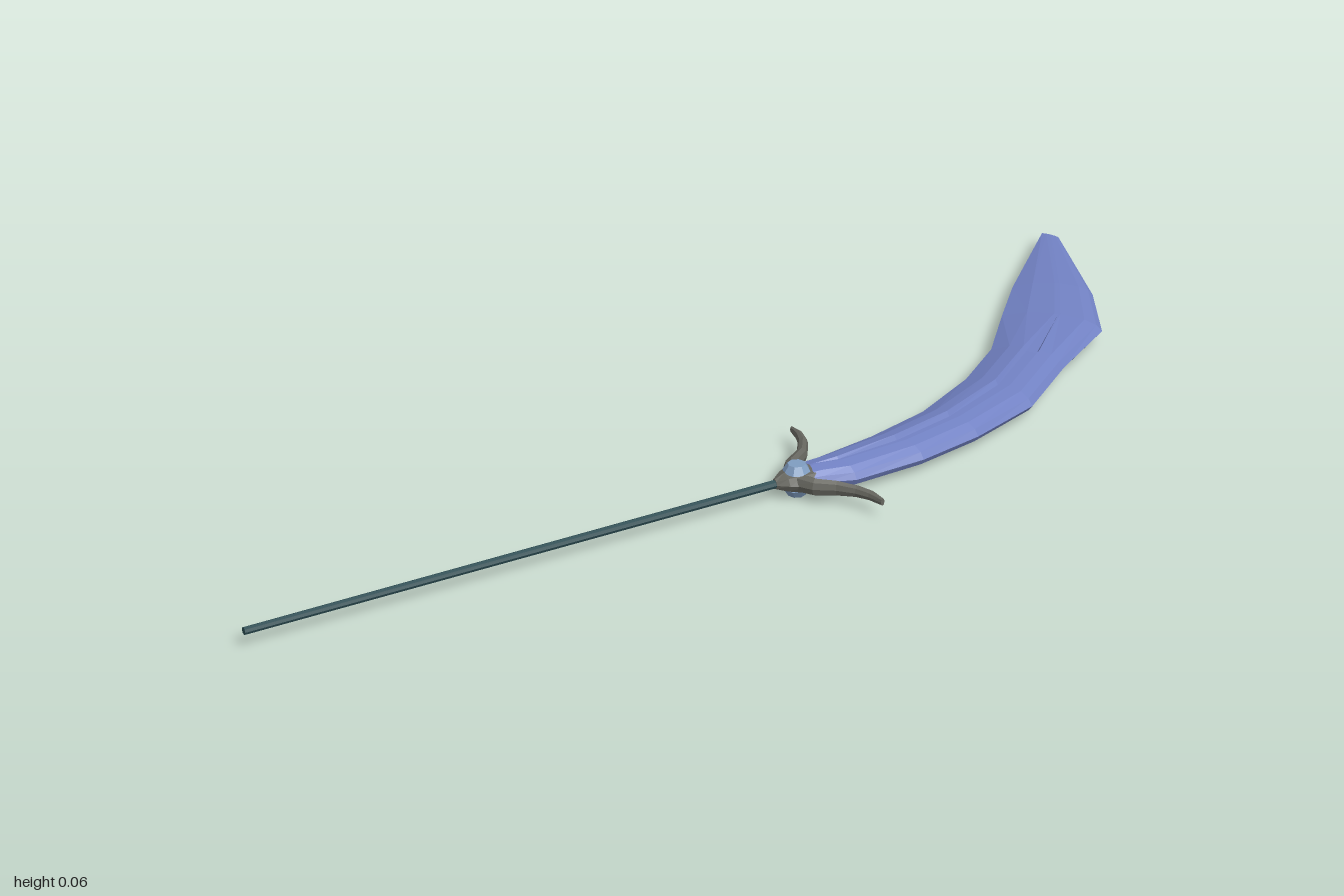
import * as THREE from 'three';

const MID = 0.028; // height of the weapon's flat centre plane

function mesh(name, geometry, color, parent) {
  const m = new THREE.Mesh(geometry, new THREE.MeshStandardMaterial({ color, flatShading: true }));
  m.name = name;
  parent.add(m);
  return m;
}

// Skins a list of equal-length rings and closes both ends.
function loft(rings) {
  const n = rings[0].length, pos = [];
  const tri = (...pts) => pts.forEach(p => pos.push(p.x, p.y, p.z));
  for (let i = 0; i < rings.length - 1; i++) {
    for (let j = 0; j < n; j++) {
      const k = (j + 1) % n, a = rings[i], b = rings[i + 1];
      tri(a[j], a[k], b[j]);
      tri(a[k], b[k], b[j]);
    }
  }
  [rings[0], rings[rings.length - 1]].forEach((ring, end) => {
    const c = ring.reduce((s, p) => s.add(p), new THREE.Vector3()).divideScalar(n);
    for (let j = 0; j < n; j++) {
      const k = (j + 1) % n;
      if (end) tri(c, ring[j], ring[k]);
      else tri(c, ring[k], ring[j]);
    }
  });
  const g = new THREE.BufferGeometry();
  g.setAttribute('position', new THREE.Float32BufferAttribute(pos, 3));
  g.computeVertexNormals();
  return g;
}

// Curved blade: each station is inner x,z, outer x,z, half thickness, groove amount.
function bladeGeometry() {
  const stations = [
    [0.03, 0.21, 0.03, 0.27, 0.016, 0],
    [0.06, 0.20, 0.06, 0.28, 0.020, 0],
    [0.10, 0.195, 0.11, 0.30, 0.023, 0.5],
    [0.22, 0.175, 0.25, 0.295, 0.0235, 1],
    [0.35, 0.14, 0.38, 0.27, 0.0235, 1],
    [0.49, 0.07, 0.53, 0.22, 0.0235, 1],
    [0.60, -0.01, 0.67, 0.12, 0.023, 1],
    [0.70, -0.12, 0.82, 0.03, 0.021, 0],
    [0.79, -0.215, 0.90, -0.11, 0.017, 0],
    [0.985, -0.395, 1.0, -0.36, 0.002, 0],
  ];
  return loft(stations.map(([ix, iz, ox, oz, h, g]) => {
    const at = (t, y) => new THREE.Vector3(ix + (ox - ix) * t, MID + y * h, iz + (oz - iz) * t);
    // Upper half profile: bevel, ridge, groove, ridge, rounded outer edge
    const half = [
      [0.25, 0.72], [0.52 - 0.08 * g, 1], [0.54 - 0.06 * g, 1 - 0.4 * g],
      [0.56 + 0.06 * g, 1 - 0.4 * g], [0.58 + 0.08 * g, 1], [0.82, 0.85], [0.94, 0.5],
    ];
    return [
      at(0, 0), ...half.map(([t, y]) => at(t, y)),
      at(1, 0), ...half.slice().reverse().map(([t, y]) => at(t, -y)),
    ];
  }));
}

// Tapered horizontal horn through the given [x, z, half width, half height] points.
function hornGeometry(points) {
  const up = new THREE.Vector3(0, 1, 0);
  const centres = points.map(([x, z]) => new THREE.Vector3(x, MID, z));
  return loft(points.map(([, , w, h], i) => {
    const dir = centres[Math.min(i + 1, points.length - 1)].clone()
      .sub(centres[Math.max(i - 1, 0)]).normalize();
    const side = dir.cross(up);
    return Array.from({ length: 8 }, (_, j) => {
      const a = j / 8 * Math.PI * 2;
      return centres[i].clone().addScaledVector(side, -Math.cos(a) * w)
        .addScaledVector(up, Math.sin(a) * h);
    });
  }));
}

export function createModel() {
  const model = new THREE.Group();
  model.name = 'curvedBlade';
  const guard = new THREE.Group();
  guard.name = 'guard';
  model.add(guard);
  const GREY = 0x66665f;

  mesh('blade', bladeGeometry(), 0x7282c4, model);

  // Long thin shaft
  const shaft = mesh('shaft', new THREE.CylinderGeometry(0.0075, 0.0065, 1.01, 8), 0x2b4c52, model);
  shaft.rotation.z = -Math.PI / 2;
  shaft.position.set(-0.495, MID, 0.242);

  // Hub and collar where the shaft meets the blade
  mesh('hub', hornGeometry([
    [-0.018, 0.242, 0.008, 0.009], [0, 0.242, 0.022, 0.017],
    [0.025, 0.242, 0.036, 0.023], [0.05, 0.242, 0.034, 0.02], [0.065, 0.242, 0.015, 0.01],
  ]), GREY, guard);

  // Two swept horns
  mesh('backHorn', hornGeometry([
    [0.018, 0.235, 0.016, 0.018], [0.04, 0.20, 0.012, 0.016], [0.08, 0.172, 0.01, 0.014],
    [0.105, 0.135, 0.009, 0.011], [0.115, 0.105, 0.007, 0.009], [0.116, 0.08, 0.003, 0.006],
  ]), GREY, guard);
  mesh('frontHorn', hornGeometry([
    [0.018, 0.25, 0.016, 0.018], [0.035, 0.285, 0.012, 0.016], [0.065, 0.308, 0.01, 0.014],
    [0.088, 0.335, 0.009, 0.011], [0.1, 0.36, 0.008, 0.009], [0.104, 0.39, 0.004, 0.007],
  ]), GREY, guard);

  // Faceted gem on each face of the hub
  for (const s of [1, -1]) {
    const gem = mesh(s > 0 ? 'topGem' : 'bottomGem',
      new THREE.CylinderGeometry(0.016, 0.025, 0.014, 8), 0x7f9cc0, guard);
    gem.position.set(0.025, MID + s * 0.022, 0.243);
    if (s < 0) gem.rotation.x = Math.PI;
  }
  return model;
}
